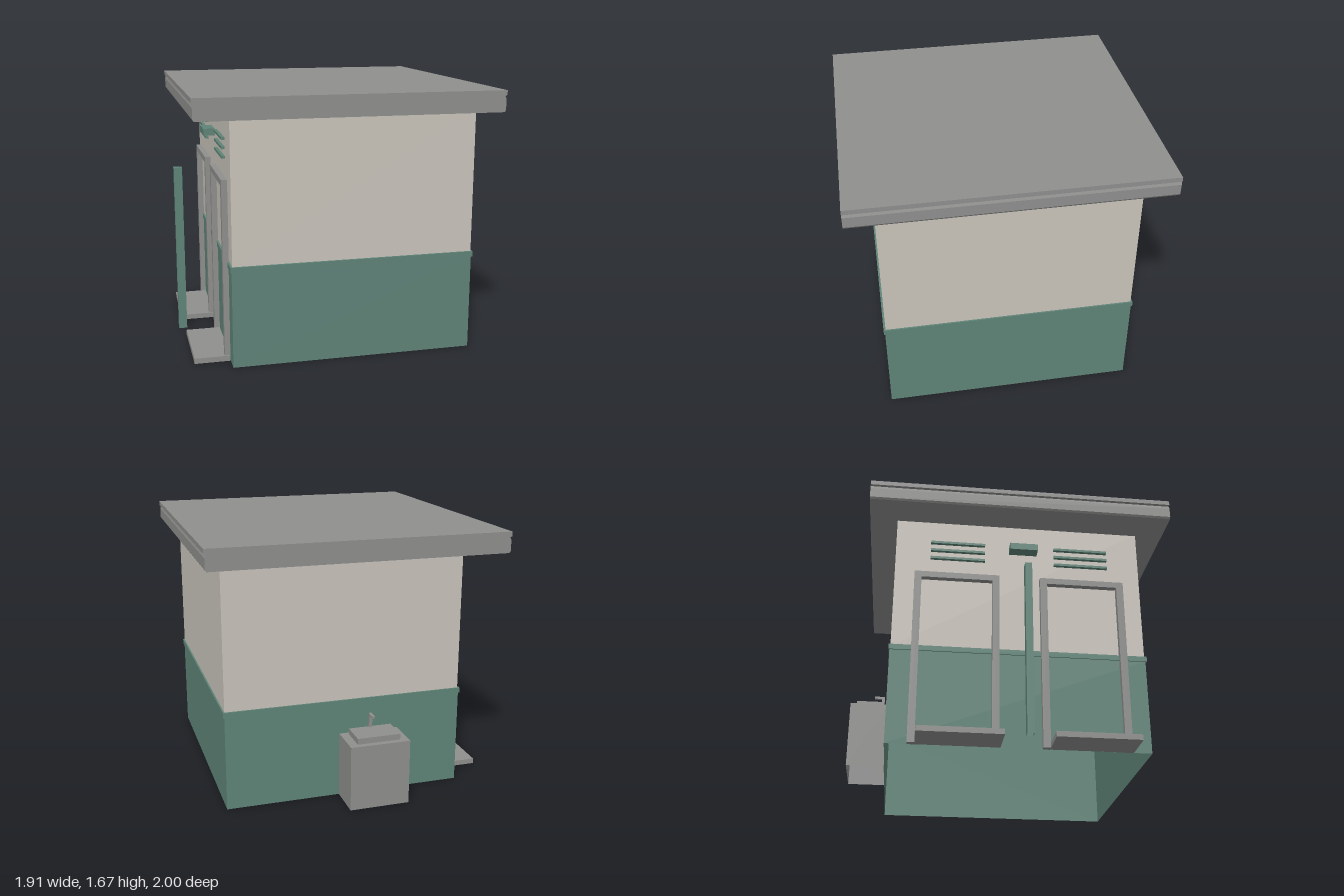
import * as THREE from 'three';

export function createModel() {
  const root = new THREE.Group();
  const mat = (name, color) => {
    const m = new THREE.MeshStandardMaterial({ color, side: THREE.DoubleSide });
    m.name = name;
    return m;
  };
  const cream = mat('cream wall', 0xcac5bc);
  const green = mat('green paint', 0x5f8478);
  const gray = mat('concrete gray', 0x8f908e);

  const add = (name, geo, material, parent = root) => {
    const mesh = new THREE.Mesh(geo, material);
    mesh.name = name;
    parent.add(mesh);
    return mesh;
  };
  // box from its two extreme corners; open = without the underside
  const box = (name, material, [x0, y0, z0], [x1, y1, z1], parent = root, open = false) => {
    const geo = new THREE.BoxGeometry(x1 - x0, y1 - y0, z1 - z0);
    if (open) {
      const index = Array.from(geo.index.array);
      index.splice(18, 6);
      geo.setIndex(index);
      geo.clearGroups();
    }
    geo.translate((x0 + x1) / 2, (y0 + y1) / 2, (z0 + z1) / 2);
    return add(name, geo, material, parent);
  };

  // building body
  box('baseWall', green, [-0.695, 0, -0.765], [0.838, 0.61, 0.828], root, true);
  box('baseBand', green, [-0.702, 0.606, -0.771], [0.846, 0.64, 0.836]);
  box('upperWall', cream, [-0.69, 0.63, -0.76], [0.836, 1.55, 0.823]);

  // roof: one edge profile, mirrored and run from back to front
  const edge = [[0.926, 1.543], [0.934, 1.555], [0.934, 1.62], [0.926, 1.64], [0.939, 1.645], [0.939, 1.674]];
  const cx = 0.015;
  const outline = [
    ...edge.map(([x, y]) => new THREE.Vector2(cx + x, y)),
    ...edge.slice().reverse().map(([x, y]) => new THREE.Vector2(cx - x, y)),
  ];
  const roofGeo = new THREE.ExtrudeGeometry(new THREE.Shape(outline), { depth: 1.937, bevelEnabled: false });
  roofGeo.translate(0, 0, -0.937);
  add('roof', roofGeo, gray);

  // two entrances on the right side, each with frame, step and vent slats
  for (const zc of [-0.365, 0.435]) {
    const door = new THREE.Group();
    door.name = 'entrance';
    root.add(door);
    const h = 0.27, w = 0.045, x0 = -0.73, x1 = -0.693;
    for (const s of [-1, 1]) {
      const a = zc + s * h, b = zc + s * (h - w);
      box('doorJamb', gray, [x0, 0, Math.min(a, b)], [x1, 1.15, Math.max(a, b)], door);
    }
    box('doorHead', gray, [x0, 1.11, zc - h + w], [x1, 1.15, zc + h - w], door);
    box('doorStep', gray, [-0.92, 0, zc - 0.225], [-0.696, 0.034, zc + 0.28], door);
    for (const y of [1.27, 1.328, 1.385]) {
      box('ventSlat', green, [-0.711, y - 0.008, zc - 0.172], [-0.689, y + 0.008, zc + 0.178], door);
    }
  }

  // lamp and post between the entrances
  box('wallLamp', green, [-0.764, 1.335, -0.03], [-0.688, 1.38, 0.15]);
  box('post', green, [-0.957, 0, 0.037], [-0.903, 1.118, 0.08], root, true);

  // washstand on the back wall
  const sink = new THREE.Group();
  sink.name = 'washstand';
  root.add(sink);
  box('washstandBlock', gray, [-0.272, 0, -1], [0.112, 0.418, -0.767], sink, true);
  box('basin', gray, [-0.22, 0.418, -0.963], [0.057, 0.455, -0.79], sink);
  box('tapPost', gray, [-0.092, 0.455, -0.807], [-0.072, 0.545, -0.789], sink);
  box('tapSpout', gray, [-0.092, 0.53, -0.855], [-0.072, 0.545, -0.807], sink);

  return root;
}
